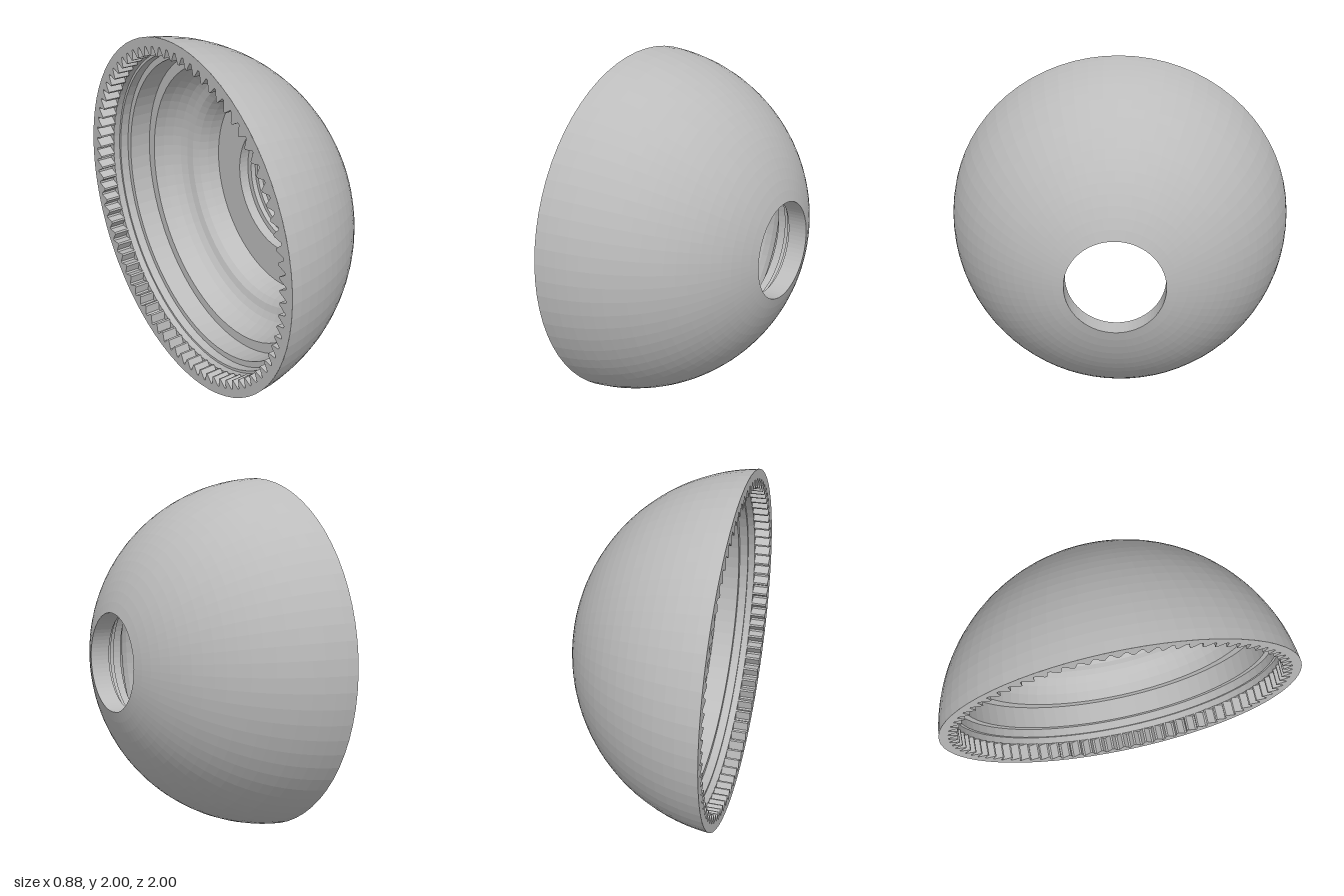
import * as THREE from 'three';

const SEGMENTS = 72;
const RIM_X = -0.44, END_X = 0.44;
const SPHERE_X = -0.527, SPHERE_R = 1.004;

// Points on a circular arc of the dome profile, as (radius, x)
function arc(radius, x0, x1, steps) {
  const a0 = Math.acos((x0 - SPHERE_X) / radius);
  const a1 = Math.acos((x1 - SPHERE_X) / radius);
  return Array.from({ length: steps + 1 }, (_, i) => {
    const a = a0 + ((a1 - a0) * i) / steps;
    return new THREE.Vector2(radius * Math.sin(a), SPHERE_X + radius * Math.cos(a));
  });
}

// Revolves a (radius, x) profile around the x axis
function revolve(points, material, name) {
  const geometry = new THREE.LatheGeometry(points, SEGMENTS);
  geometry.rotateZ(-Math.PI / 2);
  const mesh = new THREE.Mesh(geometry, material);
  mesh.name = name;
  return mesh;
}

const profile = (list) => list.map(([r, x]) => new THREE.Vector2(r, x));

// Ring with pointed internal teeth, flush with the rim
function toothedRing(material) {
  const teeth = 80, root = 0.95, tip = 0.9, depth = 0.09;
  const shape = new THREE.Shape();
  shape.absarc(0, 0, 0.965, 0, Math.PI * 2, false);
  const hole = new THREE.Path();
  for (let i = 0; i < teeth; i++) {
    [[0, root], [0.16, root], [0.5, tip], [0.66, tip]].forEach(([t, r], k) => {
      const a = ((i + t) / teeth) * Math.PI * 2;
      const x = r * Math.cos(a), y = r * Math.sin(a);
      if (i === 0 && k === 0) hole.moveTo(x, y);
      else hole.lineTo(x, y);
    });
  }
  hole.closePath();
  shape.holes.push(hole);
  const geometry = new THREE.ExtrudeGeometry(shape, { depth, bevelEnabled: false, curveSegments: SEGMENTS });
  geometry.rotateY(Math.PI / 2);
  geometry.translate(RIM_X, 0, 0);
  const mesh = new THREE.Mesh(geometry, material);
  mesh.name = 'toothedRing';
  return mesh;
}

export function createModel() {
  const grey = new THREE.MeshStandardMaterial({ color: 0xbcbcbc, flatShading: true });
  grey.name = 'grey';

  const model = new THREE.Group();
  model.name = 'gearedDome';
  const body = new THREE.Group();
  body.name = 'domeBody';
  body.position.y = 1;
  model.add(body);

  // Outer skin
  body.add(revolve(arc(SPHERE_R, RIM_X, END_X, 20), grey, 'outerDome'));

  // Stepped bore through the narrow end
  body.add(revolve(profile([
    [0.27, END_X], [0.27, 0.33], [0.31, 0.33], [0.31, 0.3],
    [0.335, 0.3], [0.335, 0.27], [0.37, 0.27], [0.37, 0.21],
  ]), grey, 'endBore'));

  // Flat inner wall and the recess in front of it
  body.add(revolve(profile([
    [0.37, 0.21], [0.6, 0.21], [0.61, 0.14], [0.63, 0.09], [0.66, 0.06],
  ]), grey, 'innerWall'));

  // Curved cavity
  body.add(revolve(profile([
    [0.66, 0.06], [0.7, 0.045], [0.735, 0.02], [0.765, -0.02], [0.787, -0.07], [0.8, -0.13],
  ]), grey, 'innerDome'));

  // Stepped seats leading out to the teeth
  body.add(revolve(profile([
    [0.8, -0.13], [0.86, -0.13], [0.86, -0.26], [0.895, -0.26], [0.895, -0.31],
    [0.91, -0.31], [0.91, -0.35], [0.965, -0.35],
  ]), grey, 'innerSeats'));

  // Flat rim and its toothed ring
  body.add(revolve(profile([[0.955, RIM_X], [1, RIM_X]]), grey, 'rim'));
  body.add(toothedRing(grey));

  return model;
}
